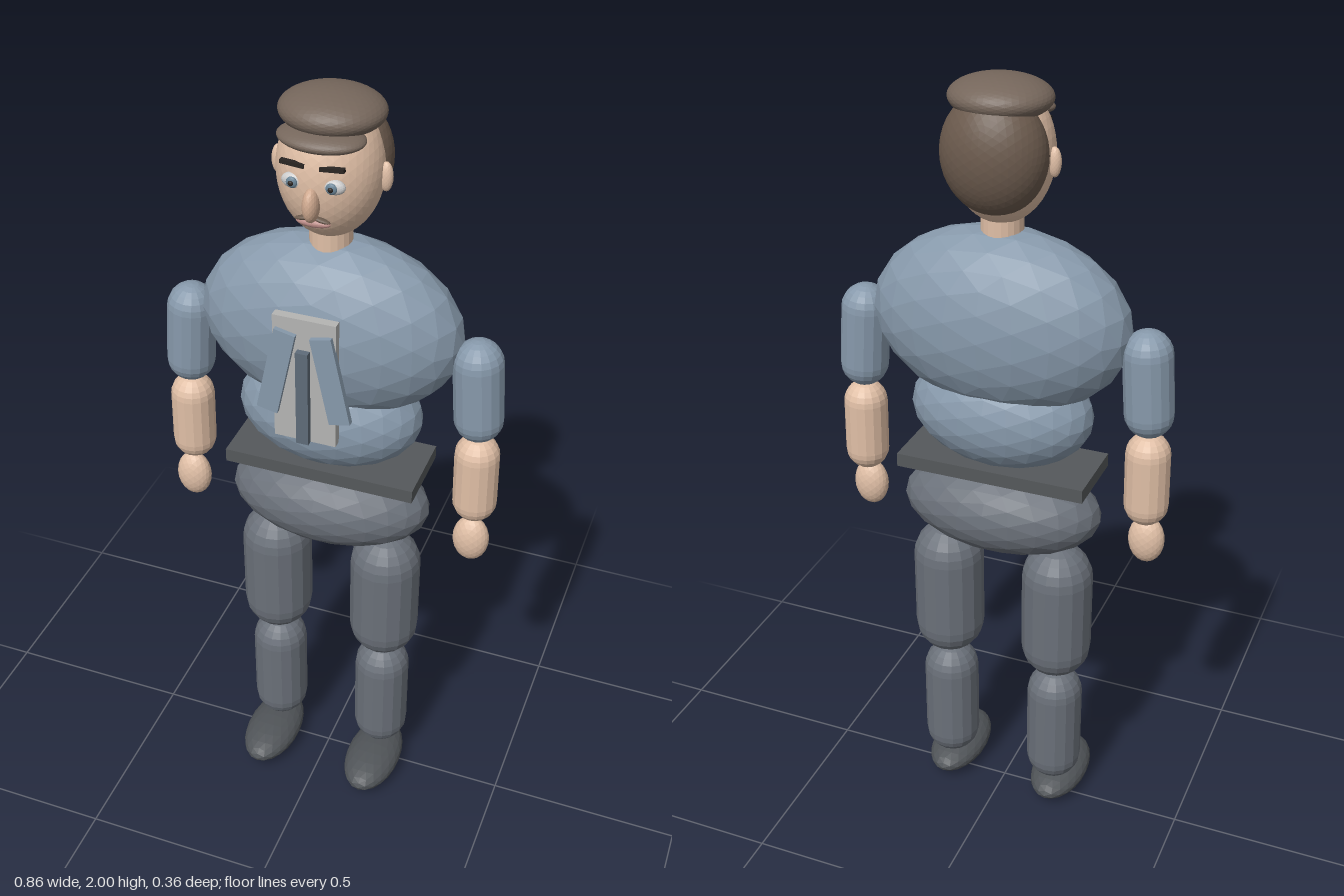
import * as THREE from 'three';

const BLUE = 0x8799ab, SKIN = 0xe0bfa6, TROUSER = 0x6a7079, SHOE = 0x505458,
  HAT = 0x75665b, HAIR = 0x6b5a4d, BELT = 0x55585b, PLATE = 0xb5b5b3, DARK = 0x2a2522;

const Z = -0.015; // depth of the body axis

export function createModel() {
  const root = new THREE.Group();
  root.name = 'standingMan';

  function add(name, geometry, color, pos, tilt = [0, 0, 0], parent = root) {
    const mesh = new THREE.Mesh(geometry,
      new THREE.MeshStandardMaterial({ color, flatShading: true }));
    mesh.name = name;
    mesh.position.set(...pos);
    mesh.rotation.set(...tilt);
    parent.add(mesh);
    return mesh;
  }
  // Faceted ellipsoid given by its three radii
  const ball = (rx, ry, rz, detail = 3) =>
    new THREE.IcosahedronGeometry(1, detail).scale(rx, ry, rz);
  // Capsule given by its full height
  const limb = (r, height) => new THREE.CapsuleGeometry(r, height - 2 * r, 6, 16);
  const box = (w, h, d) => new THREE.BoxGeometry(w, h, d);

  // Trunk
  add('chest', ball(0.323, 0.228, 0.161), BLUE, [0, 1.424, -0.02]);
  add('abdomen', ball(0.232, 0.145, 0.14), BLUE, [0, 1.183, Z]);
  add('hips', ball(0.26, 0.12, 0.144), TROUSER, [0, 0.915, Z]);
  add('belt', box(0.486, 0.035, 0.195), BELT, [0, 1.037, Z]);
  add('neck', new THREE.CylinderGeometry(0.05, 0.05, 0.1, 20), SKIN, [0, 1.66, Z]);

  // Shirt front with lapels and tie
  add('shirtFront', box(0.152, 0.33, 0.022), PLATE, [0, 1.365, 0.149]);
  add('tie', box(0.03, 0.25, 0.016), 0x5f6c79, [0, 1.327, 0.17]);

  // Head, hair and cap
  const head = new THREE.Group();
  head.name = 'head';
  root.add(head);
  const face = (name, geometry, color, pos, tilt) => add(name, geometry, color, pos, tilt, head);
  face('skull', ball(0.121, 0.162, 0.124, 7), SKIN, [0, 1.825, Z]);
  face('hair', ball(0.125, 0.14, 0.095, 7), HAIR, [0, 1.835, -0.063]);
  face('capCrown', ball(0.12, 0.048, 0.107, 7), HAT, [0, 1.952, -0.023]);
  face('capPeak', ball(0.1, 0.023, 0.062, 7), HAT, [0, 1.917, 0.046], [0.08, 0, 0]);
  face('nose', ball(0.019, 0.04, 0.027), 0xd0aa90, [0, 1.787, 0.109]);
  face('mouth', ball(0.04, 0.01, 0.012), 0xb98a85, [0, 1.74, 0.096]);

  // Everything that comes in pairs
  for (const [side, s] of [['left', 1], ['right', -1]]) {
    add(side + 'UpperArm', limb(0.06, 0.27), BLUE, [s * 0.364, 1.317, Z], [0, 0, s * 0.07]);
    add(side + 'Forearm', limb(0.055, 0.245), SKIN, [s * 0.373, 1.065, Z], [0, 0, s * 0.015]);
    add(side + 'Hand', ball(0.046, 0.064, 0.034), SKIN, [s * 0.375, 0.886, 0]);
    add(side + 'Thigh', limb(0.091, 0.39), TROUSER, [s * 0.151, 0.624, Z]);
    add(side + 'Shin', limb(0.073, 0.355), TROUSER, [s * 0.15, 0.256, Z]);
    add(side + 'Shoe', ball(0.074, 0.043, 0.135), SHOE, [s * 0.152, 0.045, 0.044]);
    add(side + 'Lapel', box(0.052, 0.225, 0.016), BLUE, [s * 0.066, 1.385, 0.164], [0, 0, s * 0.21]);

    face(side + 'Ear', ball(0.016, 0.035, 0.014), SKIN, [s * 0.125, 1.817, -0.018]);
    face(side + 'Eye', ball(0.027, 0.018, 0.014), 0xe8e8e6, [s * 0.046, 1.832, 0.094]);
    face(side + 'Iris', ball(0.013, 0.013, 0.006), 0x6b8597, [s * 0.045, 1.832, 0.106]);
    face(side + 'Pupil', ball(0.006, 0.006, 0.004), DARK, [s * 0.045, 1.832, 0.112]);
    face(side + 'Brow', box(0.055, 0.009, 0.012), DARK, [s * 0.045, 1.874, 0.1], [0, 0, s * 0.08]);
    face(side + 'Moustache', ball(0.022, 0.005, 0.008), HAIR, [s * 0.02, 1.752, 0.102], [0, 0, -s * 0.2]);
  }
  return root;
}
